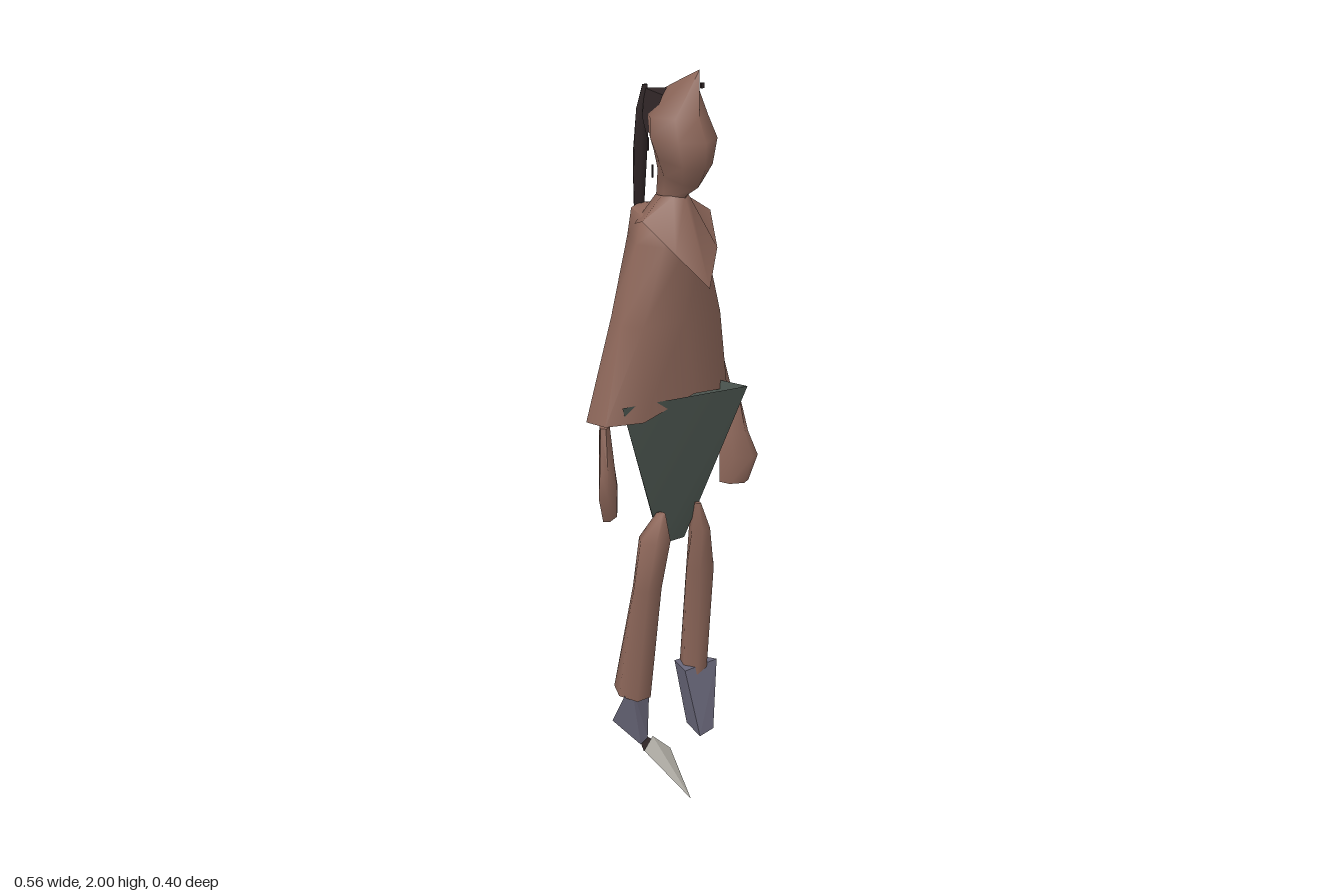
import * as THREE from 'three';
import { toCreasedNormals } from 'three/addons/utils/BufferGeometryUtils.js';
import { ConvexGeometry } from 'three/addons/geometries/ConvexGeometry.js';

const material = (name, color) =>
  new THREE.MeshStandardMaterial({ name, color, side: THREE.DoubleSide });

// One cross-section; its height and depth may differ from front to back.
// pinch below 1 turns the rear half into a wedge.
function ring(yFront, yBack, cx, rx, zFront, zBack, sides = 8, pinch = 1) {
  return Array.from({ length: sides }, (_, i) => {
    const a = (i / sides) * Math.PI * 2;
    const k = Math.sin(a) < -0.1 && Math.sin(a) > -0.9 ? pinch : 1;
    const f = (k * Math.sin(a) + 1) / 2;
    return [cx + k * rx * Math.cos(a), yBack + (yFront - yBack) * f, zBack + (zFront - zBack) * f];
  });
}

// Skin over rings listed from bottom to top, each running from +x towards +z
function loft(rows, { bottom = true, top = true, crease = 1.25 } = {}) {
  const n = rows[0].length;
  const pos = rows.flat();
  const index = [];
  for (let r = 0; r < rows.length - 1; r++) {
    for (let i = 0; i < n; i++) {
      const a = r * n + i, b = r * n + ((i + 1) % n);
      index.push(a, a + n, b, b, a + n, b + n);
    }
  }
  for (let i = 1; i < n - 1; i++) {
    const t = (rows.length - 1) * n;
    if (bottom) index.push(0, i, i + 1);
    if (top) index.push(t, t + i + 1, t + i);
  }
  const g = new THREE.BufferGeometry();
  g.setAttribute('position', new THREE.Float32BufferAttribute(pos.flat(), 3));
  g.setIndex(index);
  return toCreasedNormals(g, crease);
}

// Thin patch fanned from its first corner
function patch(points) {
  const pos = [];
  for (let i = 1; i < points.length - 1; i++) pos.push(...points[0], ...points[i], ...points[i + 1]);
  const g = new THREE.BufferGeometry();
  g.setAttribute('position', new THREE.Float32BufferAttribute(pos, 3));
  g.computeVertexNormals();
  return g;
}

const hull = (points) => new ConvexGeometry(points.map((p) => new THREE.Vector3(...p)));

export function createModel() {
  const model = new THREE.Group();
  const skin = material('brown', 0x8c6659);
  const cloth = material('dark green', 0x4c5650);
  const leather = material('purple grey', 0x686678);
  const pale = material('pale grey', 0x98958d);
  const dark = material('near black', 0x2f2526);

  const add = (name, geometry, mat) => {
    const m = new THREE.Mesh(geometry, mat);
    m.name = name;
    model.add(m);
    return m;
  };

  // Head: narrow neck, wide cheeks, wedge-shaped back, ridge sloping down to the rear
  add('head', loft([
    ring(1.58, 1.58, 0, 0.045, -0.01, -0.09),
    ring(1.67, 1.68, 0, 0.03, 0.02, -0.095),
    ring(1.70, 1.74, 0, 0.045, 0.07, -0.1, 8, 0.85),
    ring(1.75, 1.79, 0, 0.07, 0.1, -0.115, 8, 0.78),
    ring(1.82, 1.84, 0, 0.092, 0.103, -0.13, 8, 0.75),
    ring(1.88, 1.87, 0.004, 0.077, 0.07, -0.145, 8, 0.75),
    ring(2.0, 1.91, 0.02, 0.004, 0.05, -0.15),
  ], { crease: 1.4 }), skin);
  const eye = add('eye', new THREE.BoxGeometry(0.01, 0.014, 0.006), dark);
  eye.position.set(0.024, 1.96, 0.056);

  // Hair: hanging tail, a swept lock on the head and loose strands
  add('ponytail', loft([
    ring(1.53, 1.53, 0, 0.003, -0.18, -0.186, 6),
    ring(1.62, 1.62, -0.005, 0.014, -0.16, -0.195, 6),
    ring(1.76, 1.76, -0.01, 0.02, -0.143, -0.185, 6),
    ring(1.88, 1.88, -0.008, 0.022, -0.138, -0.168, 6),
    ring(1.94, 1.94, -0.003, 0.008, -0.143, -0.157, 6),
  ]), dark);
  add('hairLock', patch([
    [-0.003, 1.93, -0.152], [-0.032, 1.86, -0.125], [-0.062, 1.82, -0.066],
    [-0.035, 1.93, -0.032], [0.008, 1.94, -0.07],
  ]), dark);
  for (const [x, y, z] of [[0.03, 1.76, -0.19], [0.036, 1.7, -0.17], [0.04, 1.77, -0.195]]) {
    add('hairStrand', new THREE.BoxGeometry(0.004, 0.035, 0.004), dark).position.set(x, y, z);
  }

  // Collar with a long point at the front
  add('collar', loft([
    [[0.115, 1.61, -0.02], [0.07, 1.53, 0.065], [0, 1.44, 0.12], [-0.07, 1.53, 0.065],
      [-0.115, 1.61, -0.02], [-0.08, 1.585, -0.1], [0, 1.62, -0.11], [0.08, 1.585, -0.1]],
    ring(1.67, 1.66, 0, 0.035, 0.015, -0.095),
  ], { bottom: false, top: false }), skin);

  // Cape-like upper body: broad flat sleeves, hollow back between them, uneven hem
  add('upperBody', loft([
    [[0.25, 1.04, -0.075], [0.17, 1.1, -0.01], [0.03, 1.12, 0.02], [-0.14, 1.07, 0.015],
      [-0.242, 1.07, -0.02], [-0.24, 1.06, -0.11], [0, 1.16, -0.07], [0.22, 0.98, -0.11]],
    [[0.165, 1.33, -0.08], [0.135, 1.33, 0], [0, 1.33, 0.018], [-0.135, 1.33, 0.008],
      [-0.165, 1.33, -0.05], [-0.13, 1.33, -0.14], [0, 1.36, -0.12], [0.13, 1.33, -0.14]],
    [[0.105, 1.54, -0.08], [0.07, 1.54, 0.015], [0, 1.54, 0.03], [-0.07, 1.54, 0.015],
      [-0.105, 1.54, -0.06], [-0.06, 1.54, -0.158], [0, 1.54, -0.165], [0.06, 1.54, -0.158]],
    ring(1.6, 1.62, 0, 0.075, 0.035, -0.18),
    ring(1.62, 1.625, 0, 0.03, 0, -0.12),
  ], { bottom: false }), skin);

  // Shorts: tapering wedge, open at the waist with a dip at the rear
  add('shorts', loft([
    [[0.05, 0.67, -0.05], [-0.035, 0.67, -0.05], [-0.025, 0.67, -0.07], [0.02, 0.67, -0.085]],
    [[0.185, 1.12, 0.06], [-0.2, 1.12, 0], [-0.06, 1.04, -0.09], [0.03, 1.155, -0.165]],
  ], { top: false, crease: 0.2 }), cloth);

  // Hands, mirrored and turned so that the outer edge leads
  const turn = ([x, y, z]) => [x, y, z + (x - 0.24) * 0.5];
  for (const s of [1, -1]) {
    const hand = add(s > 0 ? 'leftHand' : 'rightHand', loft([
      ring(0.8, 0.81, 0.219, 0.038, -0.008, -0.04, 6).map(turn),
      ring(0.88, 0.88, 0.23, 0.05, 0, -0.045, 6).map(turn),
      ring(0.95, 0.95, 0.224, 0.036, -0.01, -0.055, 6).map(turn),
      ring(1.06, 1.06, 0.222, 0.02, -0.025, -0.06, 6).map(turn),
    ], { crease: 1.1 }), skin);
    hand.scale.x = s;
  }

  // Legs
  add('leftLeg', loft([
    ring(0.23, 0.23, 0.105, 0.035, -0.03, -0.125, 6),
    ring(0.56, 0.56, 0.115, 0.05, -0.022, -0.095, 6),
    ring(0.7, 0.7, 0.09, 0.027, 0.005, -0.065, 6),
    ring(0.78, 0.78, 0.072, 0.008, -0.005, -0.03, 6),
  ]), skin);
  add('rightLeg', loft([
    ring(0.22, 0.23, -0.117, 0.047, -0.015, -0.142, 6),
    ring(0.56, 0.56, -0.092, 0.048, 0.002, -0.077, 6),
    ring(0.71, 0.71, -0.082, 0.05, 0.03, -0.06, 6),
    ring(0.78, 0.78, -0.06, 0.012, 0, -0.03, 6),
  ]), skin);

  // Boots
  add('leftBoot', hull([
    [0.05, 0.25, -0.045], [0.16, 0.26, -0.035], [0.13, 0.255, -0.11], [0.07, 0.25, -0.12],
    [0.12, 0.06, 0], [0.07, 0.05, 0], [0.12, 0.065, -0.075], [0.08, 0.06, -0.075],
  ]), leather);
  add('rightBoot', hull([
    [-0.228, 0.19, -0.025], [-0.12, 0.25, -0.08], [-0.02, 0.2, -0.125],
    [-0.1, 0.09, -0.03], [-0.14, 0.09, -0.01], [-0.1, 0.1, -0.11],
  ]), leather);
  add('rightToe', hull([
    [-0.125, 0.005, 0.2], [-0.143, 0.08, 0.01], [-0.105, 0.11, 0],
    [-0.08, 0.085, 0.05], [-0.11, 0.065, 0.02],
  ]), pale);
  add('rightSole', patch([
    [-0.145, 0.08, 0.01], [-0.08, 0.075, 0.03], [-0.09, 0.085, -0.1],
  ]), dark);

  return model;
}
